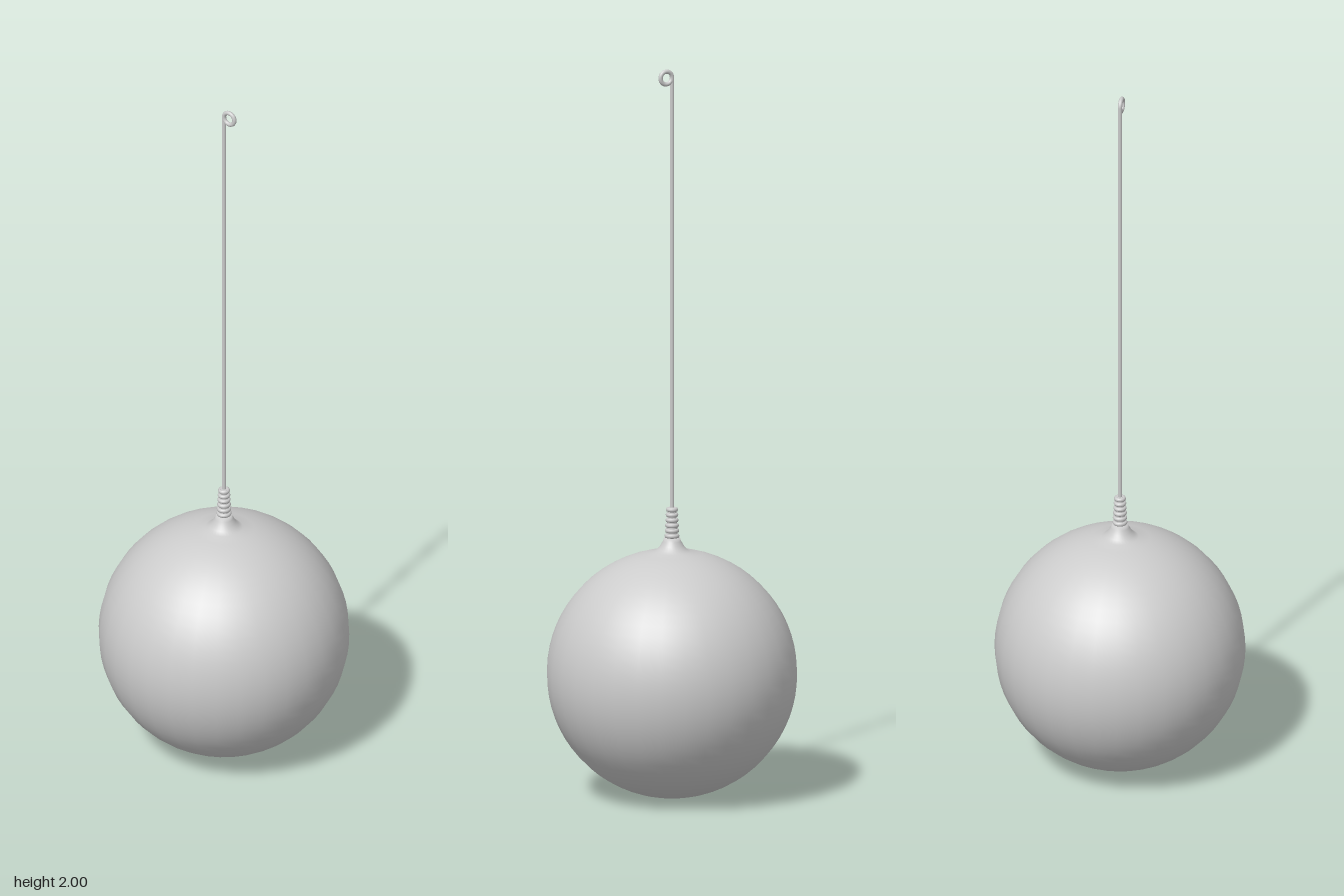
import * as THREE from 'three';

const material = new THREE.MeshStandardMaterial({ color: 0xcccccc });
const BALL_R = 0.338;
const WIRE_R = 0.006;

function add(group, name, geometry, y = 0) {
  const mesh = new THREE.Mesh(geometry, material);
  mesh.name = name;
  mesh.position.y = y;
  group.add(mesh);
  return mesh;
}

export function createModel() {
  const model = new THREE.Group();
  model.name = 'hangingBall';

  // Ball: circular arc from the bottom pole, flowing into a flared collar on top
  const profile = [];
  const stop = Math.PI - 0.15;
  for (let i = 0; i <= 32; i++) {
    const a = (i / 32) * stop;
    profile.push(new THREE.Vector2(BALL_R * Math.sin(a), BALL_R * (1 - Math.cos(a))));
  }
  [[0.039, 0.68], [0.031, 0.69], [0.025, 0.701], [0.021, 0.71], [0, 0.712]]
    .forEach(([r, y]) => profile.push(new THREE.Vector2(r, y)));
  add(model, 'ball', new THREE.LatheGeometry(profile, 32));

  // Ribbed sleeve: tapered core with stacked rings
  const sleeve = new THREE.Group();
  sleeve.name = 'ribbedSleeve';
  model.add(sleeve);
  add(sleeve, 'sleeveCore', new THREE.CylinderGeometry(0.011, 0.016, 0.086, 20), 0.751);
  const rings = 6;
  for (let i = 0; i < rings; i++) {
    const t = i / (rings - 1);
    const ring = new THREE.TorusGeometry(0.0145 - 0.004 * t, 0.006, 8, 20);
    ring.rotateX(Math.PI / 2);
    add(sleeve, 'sleeveRing', ring, 0.716 + 0.072 * t);
  }

  // Straight wire up to the hanging loop
  const loopR = 0.0175, loopY = 2 - loopR - WIRE_R;
  const wireBottom = 0.78;
  add(model, 'wire', new THREE.CylinderGeometry(WIRE_R, WIRE_R, loopY - wireBottom, 12),
    (loopY + wireBottom) / 2);

  // Hanging loop, offset so its side runs into the wire
  const loop = add(model, 'hangingLoop', new THREE.TorusGeometry(loopR, WIRE_R, 10, 28), loopY);
  loop.position.x = loopR;

  return model;
}
